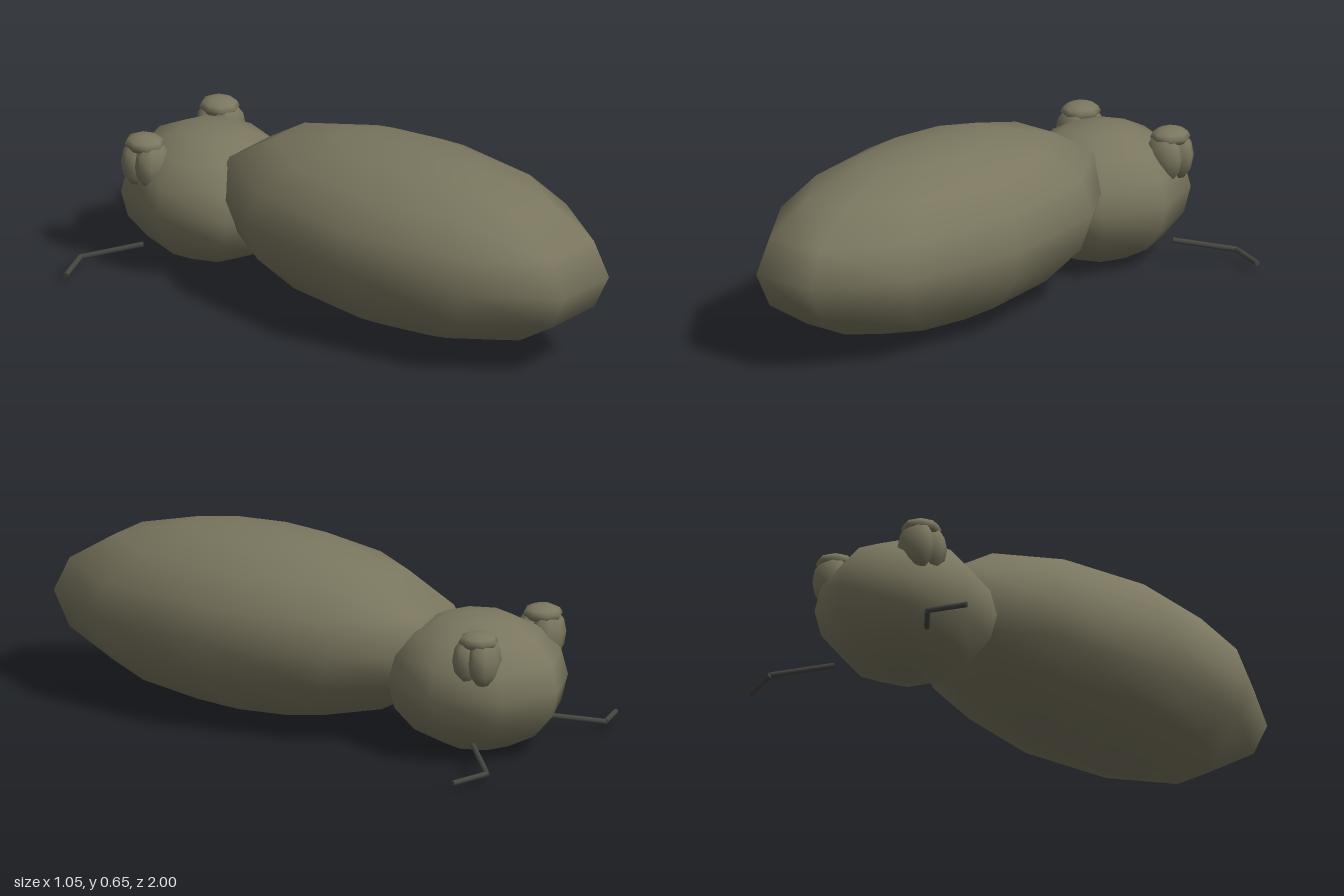
import * as THREE from 'three';

export function createModel() {
  const model = new THREE.Group();
  model.name = 'insect';

  const olive = new THREE.MeshStandardMaterial({ color: 0x7a765f });
  olive.name = 'olive shell';
  const charcoal = new THREE.MeshStandardMaterial({ color: 0x444441 });
  charcoal.name = 'charcoal feeler';

  // Low-sided, smooth-shaded ellipsoid
  function ellipsoid(name, parent, radii, centre, sides, rings) {
    const geometry = new THREE.SphereGeometry(1, sides, rings);
    geometry.scale(...radii);
    const mesh = new THREE.Mesh(geometry, olive);
    mesh.name = name;
    mesh.position.set(...centre);
    parent.add(mesh);
    return mesh;
  }

  // Thin rod between two points
  function rod(name, parent, from, to, radius) {
    const a = new THREE.Vector3(...from);
    const b = new THREE.Vector3(...to);
    const direction = b.clone().sub(a);
    const mesh = new THREE.Mesh(
      new THREE.CylinderGeometry(radius, radius, direction.length(), 8), charcoal);
    mesh.name = name;
    mesh.position.copy(a).add(b).multiplyScalar(0.5);
    mesh.quaternion.setFromUnitVectors(new THREE.Vector3(0, 1, 0), direction.normalize());
    parent.add(mesh);
  }

  // Long body and head
  ellipsoid('body', model, [0.405, 0.325, 0.819], [0, 0.33, 0.221], 10, 8);
  ellipsoid('head', model, [0.305, 0.245, 0.33], [0, 0.245, -0.67], 8, 8);

  for (const side of [-1, 1]) {
    const label = side > 0 ? 'left' : 'right';

    // Bulging eye: two upright lobes with a crease between, under a small lid
    const eye = new THREE.Group();
    eye.name = label + 'Eye';
    eye.position.set(side * 0.207, 0.385, -0.805);
    ellipsoid('frontLobe', eye, [0.076, 0.093, 0.052], [0, -0.003, -0.026], 8, 6);
    ellipsoid('rearLobe', eye, [0.076, 0.09, 0.055], [0, -0.003, 0.035], 8, 6);
    ellipsoid('eyelid', eye, [0.068, 0.034, 0.073], [0, 0.067, 0], 8, 6);
    model.add(eye);

    // Bent feeler
    const feeler = new THREE.Group();
    feeler.name = label + 'Feeler';
    const root = [side * 0.225, 0.077, -0.795];
    const elbow = [side * 0.381, 0.038, -0.952];
    const tip = [side * 0.524, 0.031, -0.902];
    rod('innerSegment', feeler, root, elbow, 0.01);
    rod('outerSegment', feeler, elbow, tip, 0.01);
    model.add(feeler);
  }

  return model;
}
